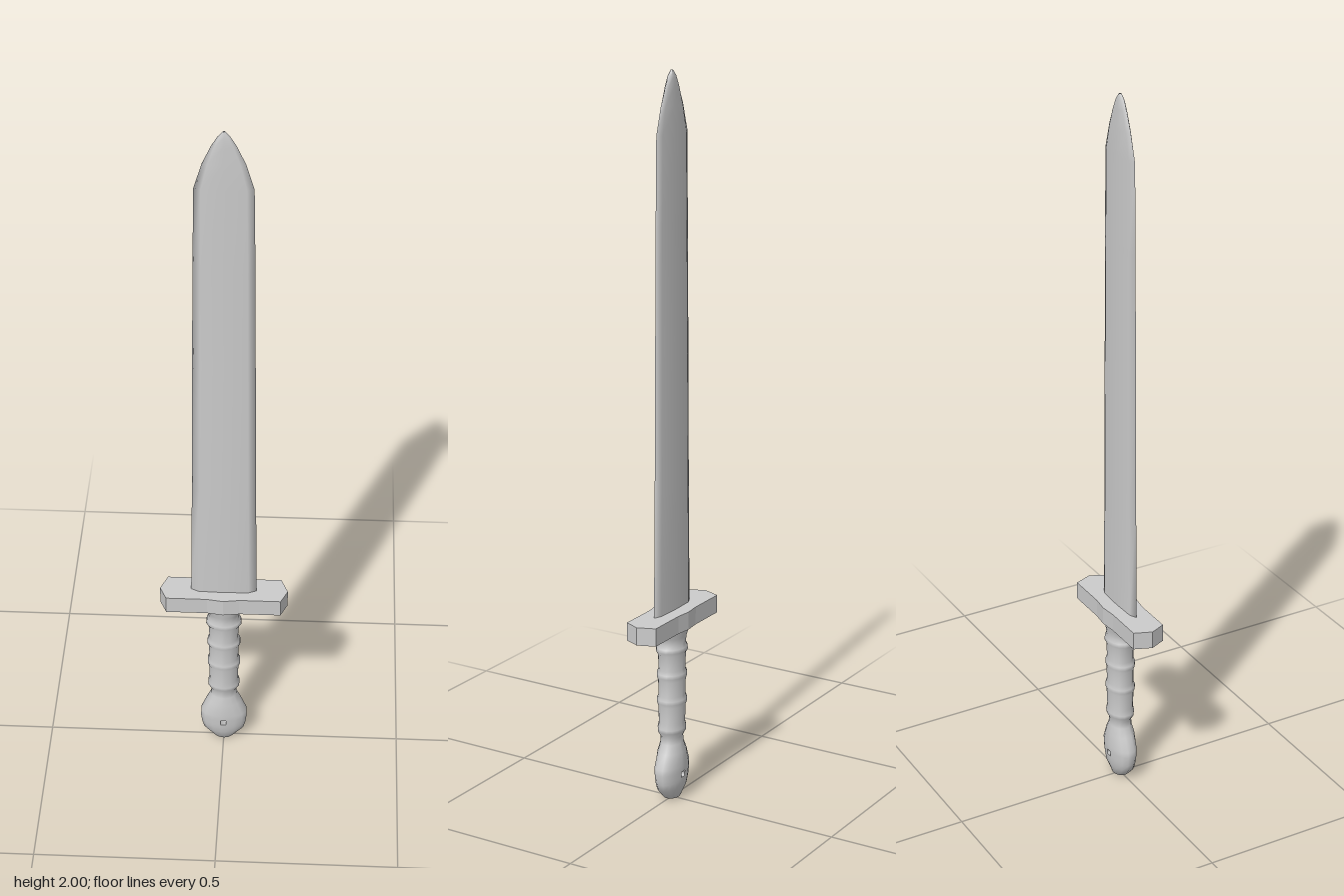
import * as THREE from 'three';

const material = new THREE.MeshStandardMaterial({ color: 0xcccccc, side: THREE.DoubleSide });

// Skins closed cross-sections (arrays of Vector3, front point first, turning towards +x).
function loft(rings, skip = () => false) {
  const n = rings[0].length;
  const index = [];
  for (let i = 0; i < rings.length - 1; i++) {
    for (let j = 0; j < n; j++) {
      if (skip(i, j)) continue;
      const k = (j + 1) % n;
      const a = i * n + j, b = i * n + k, c = a + n, d = b + n;
      index.push(a, b, d, a, d, c);
    }
  }
  const geometry = new THREE.BufferGeometry().setFromPoints(rings.flat());
  geometry.setIndex(index);
  geometry.computeVertexNormals();
  return geometry;
}

function add(group, name, geometry) {
  const mesh = new THREE.Mesh(geometry, material);
  mesh.name = name;
  group.add(mesh);
  return mesh;
}

// Blade: flat faces with a faint middle ridge and bevelled cutting edges.
function bladeGeometry() {
  const stations = [ // height, half width, half thickness
    [0.53, 0.091, 0.011], [0.9, 0.086, 0.011], [1.3, 0.082, 0.01], [1.6, 0.079, 0.009],
    [1.84, 0.075, 0.009], [1.91, 0.054, 0.008], [1.96, 0.031, 0.007], [1.985, 0.016, 0.006], [2, 0.002, 0.003],
  ];
  const section = [[0, 1.1], [0.76, 0.9], [1, 0], [0.76, -0.9], [0, -1.1], [-0.76, -0.9], [-1, 0], [-0.76, 0.9]];
  return loft(stations.map(([y, w, t]) => section.map(([x, z]) => new THREE.Vector3(x * w, y, z * t))));
}

// Guard: bar with pointed ends and a slight swell in the middle.
function guardGeometry() {
  const outline = [
    [0.177, 0], [0.158, 0.048], [0.045, 0.048], [0, 0.053], [-0.045, 0.048], [-0.158, 0.048],
    [-0.177, 0], [-0.158, -0.043], [-0.045, -0.043], [0, -0.05], [0.045, -0.043], [0.158, -0.043],
  ];
  const shape = new THREE.Shape(outline.map(([x, y]) => new THREE.Vector2(x, y)));
  return new THREE.ExtrudeGeometry(shape, { depth: 0.05, bevelEnabled: false }).rotateX(-Math.PI / 2);
}

// Handle: pommel, neck and ribbed grip in one skin, with a small hole through the pommel.
const holeRow = 4;
const handleStations = [ // height, half width, half depth
  [0, 0, 0], [0.004, 0.028, 0.022], [0.035, 0.058, 0.032], [0.055, 0.064, 0.035],
  [0.067, 0.066, 0.036], [0.083, 0.068, 0.037], [0.1, 0.067, 0.038], [0.14, 0.05, 0.036], [0.165, 0.038, 0.03],
  [0.185, 0.036, 0.029], [0.2, 0.045, 0.036], [0.21, 0.046, 0.037], [0.225, 0.041, 0.034], [0.275, 0.043, 0.036],
  [0.285, 0.047, 0.039], [0.295, 0.047, 0.039], [0.305, 0.042, 0.035], [0.35, 0.043, 0.036],
  [0.36, 0.048, 0.039], [0.37, 0.047, 0.039], [0.38, 0.041, 0.035], [0.425, 0.044, 0.036],
  [0.435, 0.051, 0.041], [0.445, 0.049, 0.04], [0.455, 0.042, 0.036], [0.475, 0.046, 0.038], [0.505, 0.062, 0.045],
];

function handleGeometry() {
  const quarter = [0.12, 0.5, 0.9, 1.3];
  const half = [...quarter, ...quarter.map((a) => Math.PI - a).reverse()];
  const angles = [...half, ...half.map((a) => a + Math.PI)];
  const rings = handleStations.map(([y, w, d]) =>
    angles.map((a) => new THREE.Vector3(w * Math.sin(a), y, d * Math.cos(a))));
  // The narrow front and back faces are left open at the hole.
  return loft(rings, (i, j) => i === holeRow && (j === 7 || j === 15));
}

export function createModel() {
  const model = new THREE.Group();
  model.name = 'sword';
  add(model, 'blade', bladeGeometry());
  add(model, 'guard', guardGeometry()).position.y = 0.5;
  add(model, 'handle', handleGeometry());

  // Inner wall of the pommel hole
  const wall = new THREE.CylinderGeometry(0.0114, 0.0114, 0.072, 4, 1, true);
  wall.rotateY(Math.PI / 4).rotateX(Math.PI / 2);
  add(model, 'pommelHole', wall).position.y = 0.075;
  return model;
}
